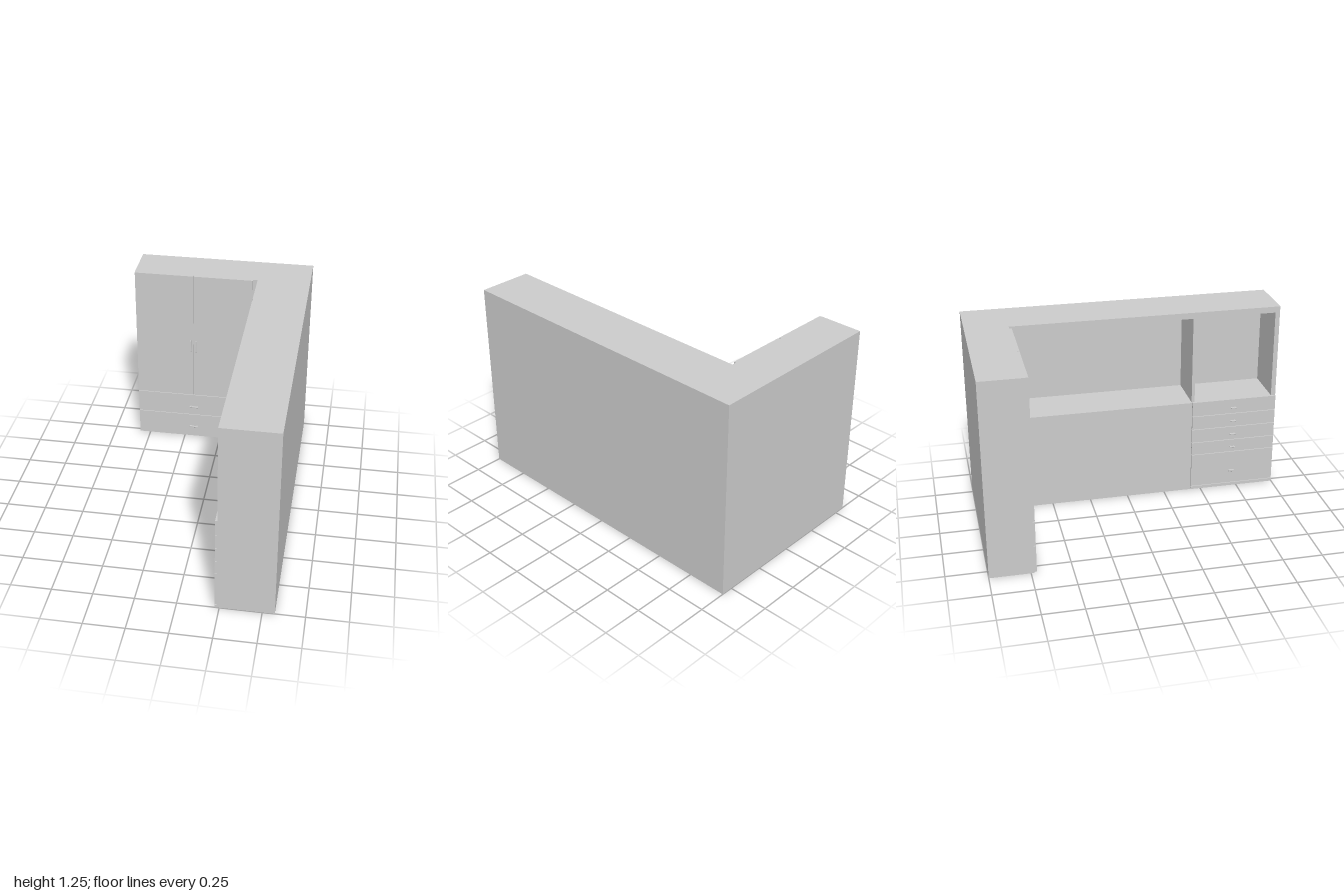
import * as THREE from 'three';
import { RoundedBoxGeometry } from 'three/addons/geometries/RoundedBoxGeometry.js';

const grey = new THREE.MeshStandardMaterial({ color: 0xcccccc });

// Box given by its opposite corners
function block(parent, name, [x0, x1], [y0, y1], [z0, z1]) {
  const mesh = new THREE.Mesh(new THREE.BoxGeometry(x1 - x0, y1 - y0, z1 - z0), grey);
  mesh.position.set((x0 + x1) / 2, (y0 + y1) / 2, (z0 + z1) / 2);
  mesh.name = name;
  parent.add(mesh);
  return mesh;
}

// Bar handle lying along x, standing off a front that faces +z
function makeHandle(length, thickness, depth) {
  const handle = new THREE.Group();
  handle.name = 'handle';
  const bar = new THREE.Mesh(new RoundedBoxGeometry(length, thickness, 0.007, 2, 0.003), grey);
  bar.name = 'handleBar';
  bar.position.z = depth - 0.0035;
  handle.add(bar);
  for (const s of [-1, 1]) {
    const x = s * (length / 2 - 0.008);
    block(handle, 'handlePost', [x - 0.003, x + 0.003], [-0.003, 0.003], [0, depth - 0.004]);
  }
  return handle;
}

export function createModel() {
  const model = new THREE.Group();
  model.name = 'cornerWardrobe';
  const H = 1.25, W = 0.573, gap = 0.002;

  // Back wing: closed carcass with two doors over two wide drawers
  const back = new THREE.Group();
  back.name = 'backWing';
  model.add(back);
  block(back, 'backCarcass', [-W, 0.235], [0, H], [-1, -0.73]);
  const frontZ = [-0.73, -0.715], left = -W + gap, right = 0.205, split = -0.183;
  block(back, 'door', [left, split - gap], [0.345 + gap, H], frontZ);
  block(back, 'door', [split + gap, right], [0.345 + gap, H], frontZ);
  for (const [y0, y1, handleY] of [[0.006, 0.183 - gap, 0.09], [0.183 + gap, 0.345 - gap, 0.251]]) {
    block(back, 'wideDrawer', [left, right], [y0, y1], frontZ);
    const handle = makeHandle(0.06, 0.011, 0.016);
    handle.position.set(split, handleY, -0.715);
    back.add(handle);
  }
  for (const s of [-1, 1]) {
    const handle = makeHandle(0.086, 0.01, 0.016);
    handle.rotation.z = Math.PI / 2;
    handle.position.set(split + s * 0.019, 0.737, -0.715);
    back.add(handle);
  }

  // Side wing: closed base below, two open compartments above
  const side = new THREE.Group();
  side.name = 'sideWing';
  model.add(side);
  const inner = 0.235, panelX = 0.525, baseY = 0.635, topY = 1.21;
  block(side, 'cornerCarcass', [inner, W], [0, H], [-1, -0.70]);
  block(side, 'base', [inner, W], [0, baseY], [-0.70, 1]);
  block(side, 'topPanel', [inner, W], [topY, H], [-0.70, 1]);
  block(side, 'rearPanel', [panelX, W], [baseY, topY], [-0.70, 1]);
  block(side, 'endPanel', [inner, panelX], [baseY, topY], [0.97, 1]);
  block(side, 'divider', [inner, panelX], [baseY, topY], [0.43, 0.45]);

  // Lower fronts facing the inside of the corner
  block(side, 'lowerFront', [0.224, inner], [0, baseY], [-0.73, 0.43]);
  block(side, 'plinth', [0.222, inner], [0, 0.02], [0.435, 1]);
  const edges = [0.022, 0.255, 0.345, 0.44, 0.535, baseY];
  const handleYs = [0.116, 0.295, 0.39, 0.485, 0.579];
  handleYs.forEach((y, i) => {
    block(side, 'drawer', [0.222, inner], [edges[i] + gap, edges[i + 1] - (i < 4 ? gap : 0)], [0.435, 0.998]);
    const handle = makeHandle(0.04, i === 0 ? 0.018 : 0.008, 0.016);
    handle.rotation.y = -Math.PI / 2;
    handle.position.set(0.222, y, 0.71);
    side.add(handle);
  });
  return model;
}
